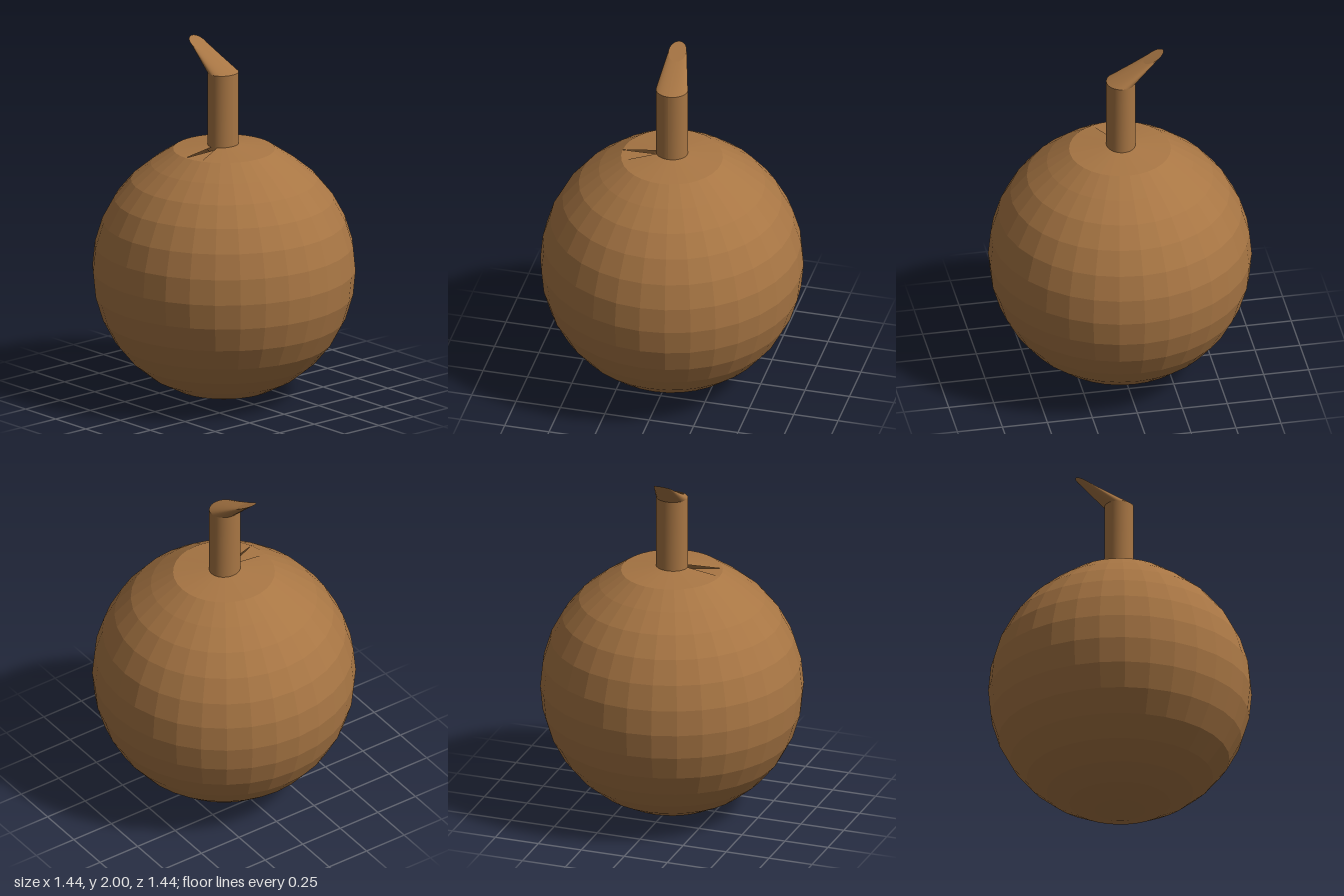
import * as THREE from 'three';

const SEG = 32;
const R = 0.72;
const CY = 0.724;

// Faceted lathe from [radius, height] pairs, listed bottom to top
function facetedLathe(points, start = 0, length = Math.PI * 2, segments = SEG) {
  const profile = points.map(([r, y]) => new THREE.Vector2(r, y));
  const geo = new THREE.LatheGeometry(profile, segments, start, length).toNonIndexed();
  geo.computeVertexNormals();
  return geo;
}

// Smooth skin between elliptical rings { c: centre, rx, rz, tilt: y rise per unit z }
function loft(rings, n) {
  const pos = [], index = [];
  rings.forEach(({ c, rx, rz, tilt }, j) => {
    for (let i = 0; i <= n; i++) {
      const a = (i / n) * Math.PI * 2;
      const dz = rz * Math.cos(a);
      pos.push(c[0] + rx * Math.sin(a), c[1] + tilt * dz, c[2] + dz);
      if (j > 0 && i < n) {
        const q = j * (n + 1) + i, p = q - n - 1;
        index.push(p, p + 1, q + 1, p, q + 1, q);
      }
    }
  });
  const geo = new THREE.BufferGeometry();
  geo.setAttribute('position', new THREE.Float32BufferAttribute(pos, 3));
  geo.setIndex(index);
  geo.computeVertexNormals();
  return geo;
}

// Flat lid closing one ring
function lid(ring, n) {
  return loft([ring, { ...ring, rx: 0, rz: 0 }], n);
}

export function createModel() {
  const group = new THREE.Group();
  const brown = new THREE.MeshStandardMaterial({ color: 0xa87644, side: THREE.DoubleSide });
  brown.name = 'brown';

  const add = (name, geo) => {
    const mesh = new THREE.Mesh(geo, brown);
    mesh.name = name;
    group.add(mesh);
    return mesh;
  };

  // Round body, with its top ring slightly raised
  const profile = [];
  for (let i = 0; i <= 13; i++) {
    const t = (i / 16) * Math.PI;
    profile.push([R * Math.sin(t), CY - R * Math.cos(t)]);
  }
  profile.push([0.278, 1.405]);
  add('body', facetedLathe(profile));

  // Shallow shoulder with a lower wedge on one side
  const wedge = Math.PI / 8;
  const side = Math.PI * 1.5;
  add('shoulder', facetedLathe([[0.278, 1.405], [0, 1.443]], side + wedge, Math.PI * 2 - wedge, 30));
  add('shoulderNotch', facetedLathe([[0.278, 1.405], [0, 1.41]], side, wedge, 2));

  // Upright stem
  const N = 40;
  const base = { c: [-0.002, 1.4, -0.005], rx: 0.088, rz: 0.08, tilt: 0 };
  const bend = { ...base, c: [-0.002, 1.84, -0.005] };
  add('stem', loft([base, bend], N));

  // Narrowing spout leaning backwards, closed by a slanted end
  const tip = { c: [-0.018, 1.968, -0.19], rx: 0.05, rz: 0.055, tilt: -0.58 };
  add('spout', loft([bend, tip], N));
  add('spoutEnd', lid(tip, N));

  return group;
}
